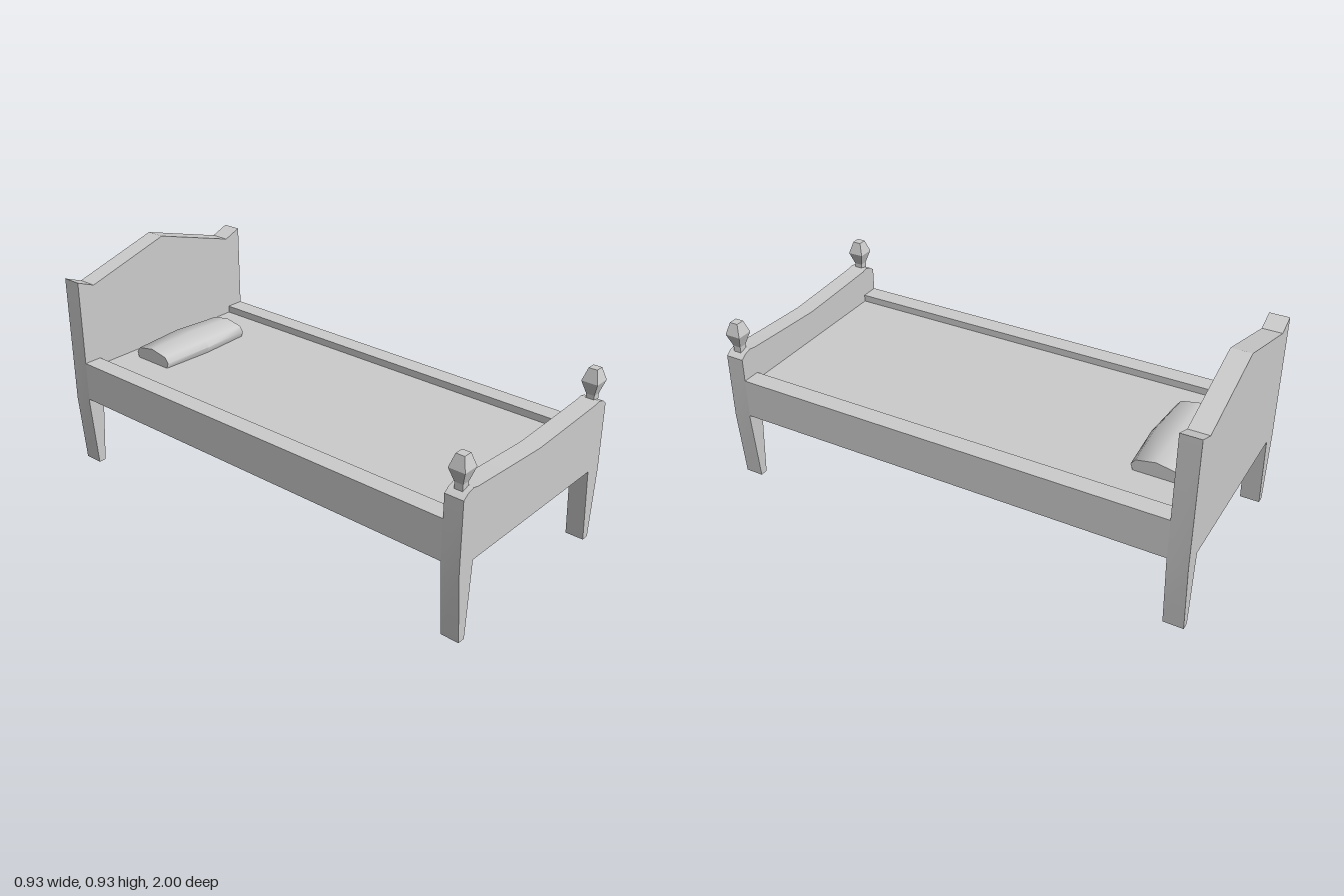
import * as THREE from 'three';
import { toCreasedNormals } from 'three/addons/utils/BufferGeometryUtils.js';

const HALF_W = 0.463, INNER = 0.385, UNDER = 0.317;
const HEAD_Z = -0.918, FOOT_Z = 0.923, BED_Y = 0.455, RAIL_Y = 0.485;

export function createModel() {
  const bed = new THREE.Group();
  bed.name = 'bed';
  const grey = new THREE.MeshStandardMaterial({ color: 0xcccccc });
  grey.name = 'light grey';

  const add = (name, geometry, x = 0, y = 0, z = 0) => {
    const mesh = new THREE.Mesh(geometry, grey);
    mesh.name = name;
    mesh.position.set(x, y, z);
    bed.add(mesh);
    return mesh;
  };

  // Board with two tapered legs; top edge is given from the centre to the +x side
  const board = (name, topEdge, z0, z1) => {
    const half = [
      ...topEdge,
      [HALF_W, 0.3], [0.44, 0], [0.408, 0], [INNER, UNDER],
    ];
    const mirrored = half.slice(1).reverse().map(([x, y]) => [-x, y]);
    const shape = new THREE.Shape([...half, ...mirrored].map(([x, y]) => new THREE.Vector2(x, y)));
    const geometry = new THREE.ExtrudeGeometry(shape, { depth: z1 - z0, bevelEnabled: false });
    add(name, toCreasedNormals(geometry, 0.4), 0, 0, z0);
  };
  board('headboard', [[0, 0.928], [INNER, 0.815], [HALF_W, 0.846]], -1, HEAD_Z);
  board('footboard', [[0, 0.583], [0.2, 0.593], [INNER, 0.603], [0.41, 0.609], [0.44, 0.6], [HALF_W, 0.583]], FOOT_Z, 1);

  // Mattress base and side rails
  const length = FOOT_Z - HEAD_Z, midZ = (FOOT_Z + HEAD_Z) / 2;
  add('mattress', new THREE.BoxGeometry(INNER * 2, BED_Y - UNDER, length), 0, (BED_Y + UNDER) / 2, midZ);
  for (const side of [1, -1]) {
    const label = side > 0 ? 'left' : 'right';
    add(label + 'Rail', new THREE.BoxGeometry(HALF_W - INNER, RAIL_Y - UNDER, length),
      side * (HALF_W + INNER) / 2, (RAIL_Y + UNDER) / 2, midZ);

    // Four-sided finial on the foot post
    const profile = [[0, 0.595], [0.017, 0.595], [0.017, 0.625], [0.034, 0.679], [0.018, 0.731], [0, 0.731]]
      .map(([w, y]) => new THREE.Vector2(w * Math.SQRT2, y));
    const finial = new THREE.LatheGeometry(profile, 4, Math.PI / 4).toNonIndexed();
    finial.computeVertexNormals();
    add(label + 'Finial', finial, side * 0.424, 0, 0.962);
  }

  // Pillow: faceted cross-section drawn along x, shrinking toward both ends
  const section = [[-0.1, 0], [0.1, 0], [0.11, 0.028], [0.09, 0.054], [0, 0.071], [-0.09, 0.054], [-0.11, 0.028]];
  const pillow = new THREE.ExtrudeGeometry(
    new THREE.Shape(section.map(([x, y]) => new THREE.Vector2(x, y))),
    { depth: 0.45, steps: 2, bevelEnabled: false });
  pillow.translate(0, 0, -0.225);
  const p = pillow.attributes.position;
  for (let i = 0; i < p.count; i++) {
    const s = 1 - 0.12 * Math.abs(p.getZ(i)) / 0.225;
    p.setXY(i, p.getX(i) * s, p.getY(i) * s);
  }
  pillow.rotateY(Math.PI / 2);
  add('pillow', toCreasedNormals(pillow, 1.0), -0.004, BED_Y, -0.762);

  return bed;
}
